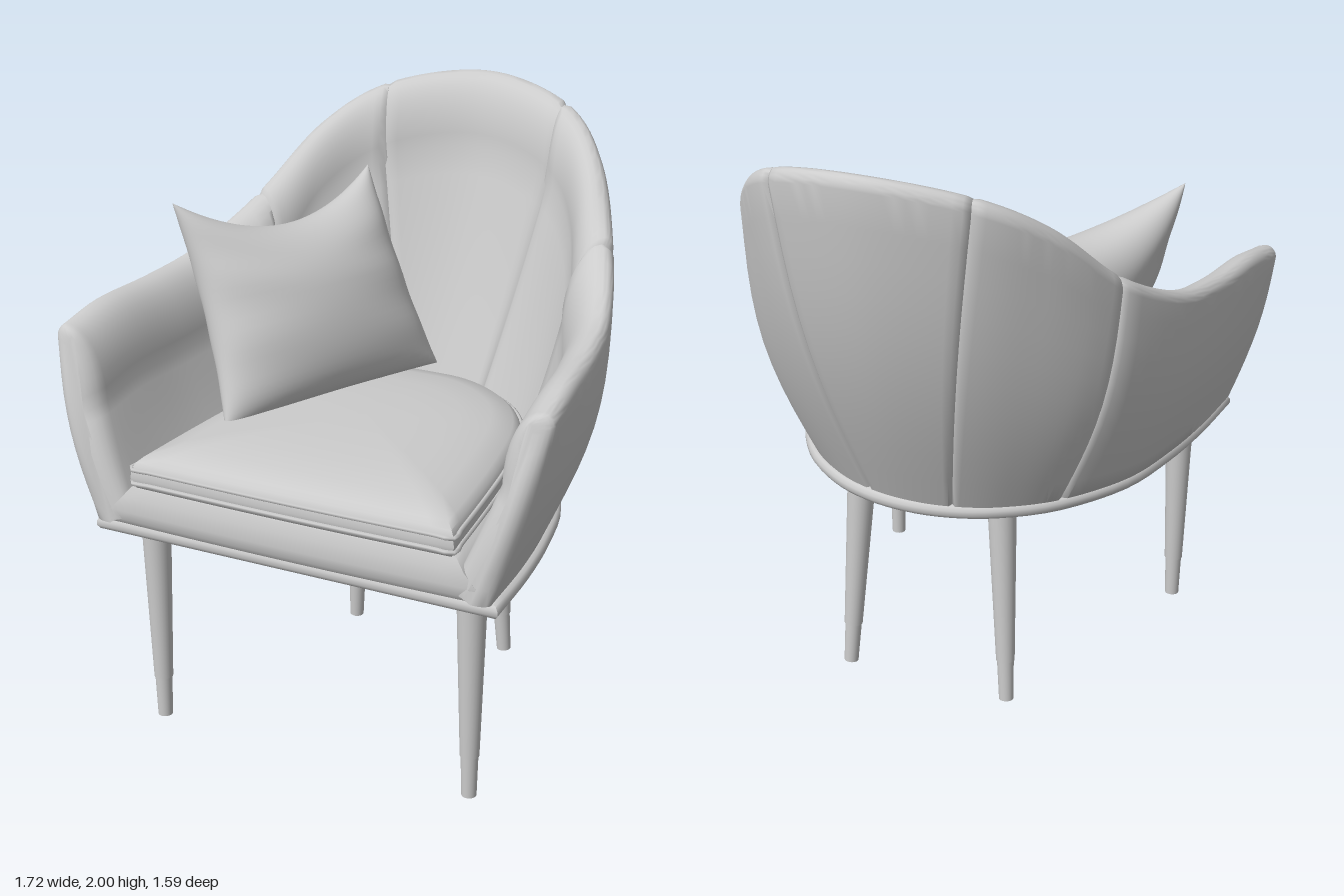
import * as THREE from 'three';
import { mergeGeometries, mergeVertices, toCreasedNormals } from 'three/addons/utils/BufferGeometryUtils.js';

const V = (x, y, z) => new THREE.Vector3(x, y, z);
const material = new THREE.MeshStandardMaterial({ color: 0xcccccc });

function addMesh(parent, name, geometry) {
  const mesh = new THREE.Mesh(geometry, material);
  mesh.name = name;
  parent.add(mesh);
  return mesh;
}

function centroid(ring) {
  return ring.reduce((s, p) => s.add(p), V(0, 0, 0)).divideScalar(ring.length);
}

// Skin a list of closed rings (counter-clockwise seen from the last ring) and cap both ends.
function loft(rings, crease) {
  const n = rings[0].length, m = rings.length, pos = [], idx = [];
  const put = p => pos.push(p.x, p.y, p.z);
  rings.forEach(r => r.forEach(put));
  for (let i = 0; i < m - 1; i++) for (let j = 0; j < n; j++) {
    const k = (j + 1) % n, a = i * n + j, b = i * n + k, c = a + n, d = b + n;
    idx.push(a, b, d, a, d, c);
  }
  put(centroid(rings[0]));
  put(centroid(rings[m - 1]));
  for (let j = 0; j < n; j++) {
    const k = (j + 1) % n;
    idx.push(m * n, k, j, m * n + 1, (m - 1) * n + j, (m - 1) * n + k);
  }
  const g = new THREE.BufferGeometry();
  g.setAttribute('position', new THREE.Float32BufferAttribute(pos, 3));
  g.setIndex(idx);
  return toCreasedNormals(g, crease);
}

// Curve from the left front corner round the back to the right front corner.
function mirrored(keys) {
  const pts = keys.map(k => V(...k));
  const other = pts.slice(0, -1).reverse().map(p => V(-p.x, p.y, p.z));
  return new THREE.CatmullRomCurve3([...pts, ...other], false, 'catmullrom', 0.5);
}

const LAST = 14; // index of the final key on a mirrored curve
const baseCurve = mirrored([[.70, .78, .76], [.69, .78, .5], [.66, .78, .25], [.60, .78, 0],
  [.46, .78, -.23], [.30, .78, -.365], [.15, .78, -.43], [0, .78, -.45]]);
const topCurve = mirrored([[.862, 1.41, .69], [.85, 1.44, .5], [.82, 1.445, .25], [.77, 1.48, 0],
  [.67, 1.61, -.28], [.535, 1.815, -.52], [.34, 1.945, -.70], [0, 2, -.80]]);
const innerCurve = mirrored([[.56, .8, .75], [.54, .8, .5], [.5, .8, .25], [.45, .8, 0],
  [.36, .8, -.17], [.25, .8, -.27], [.13, .8, -.34], [0, .8, -.35]]);
const cushionCurve = mirrored([[.57, 0, .775], [.545, 0, .5], [.515, 0, .25], [.465, 0, 0],
  [.38, 0, -.17], [.26, 0, -.28], [.13, 0, -.34], [0, 0, -.35]]);

// Cross-section of the upholstered wall: up the inside, over the rim, down the outside.
// inset thins the section for seams and rounded ends; push moves it forward.
function wallRing(t, thick, inset = 0, push = 0) {
  const [b, T, q] = [baseCurve, topCurve, innerCurve].map(c => c.getPoint(t / LAST));
  const inward = V(q.x - b.x, 0, q.z - b.z).normalize();
  const back = 1 - Math.abs(t - 7) / 7;
  const bulge = 0.02 + 0.045 * Math.min(1, back * 1.6);
  b.addScaledVector(inward, inset);
  q.addScaledVector(inward, -inset);
  const rim = 0.04, innerRim = 0.25, width = thick - 2 * inset, ring = [];
  const outerTop = V(T.x, T.y - rim - inset * .5, T.z).addScaledVector(inward, inset);
  const innerTop = outerTop.clone().addScaledVector(inward, width);
  innerTop.y -= innerRim - rim;
  for (let i = 0; i < 10; i++) {
    const s = i / 10;
    ring.push(q.clone().lerp(innerTop, s).addScaledVector(inward, -0.2 * bulge * Math.sin(Math.PI * s)));
  }
  // The rim rolls softly on the inside and tightly on the outside
  for (let i = 0; i <= 16; i++) {
    const a = Math.PI * i / 16, tip = 0.22;
    const c = Math.cos(a), h = c > 0 ? innerRim : rim;
    const p = outerTop.clone().addScaledVector(inward, width * (c > 0 ? tip + (1 - tip) * c : tip * (1 + c)));
    p.y += h * Math.sin(a) - (h - rim);
    ring.push(p);
  }
  for (let i = 9; i >= 0; i--) {
    const s = i / 10;
    ring.push(b.clone().lerp(outerTop, s).addScaledVector(inward, -bulge * Math.sin(Math.PI * s)));
  }
  for (const p of ring) {
    const s = THREE.MathUtils.clamp((p.y - .8) / .6, 0, 1);
    p.z += push * (1 + 1.2 * Math.sin(Math.PI * s));
  }
  return ring;
}

// One panel: rounded where it ends at the front, pinched where it meets a seam.
function wallPanel(t0, t1, thick) {
  const end = t => (t === 0 || t === LAST)
    ? [90, 72, 54, 36, 18].map(d => {
      const a = d * Math.PI / 180;
      return wallRing(t, thick, .06 * (1 - Math.cos(a)), .03 * Math.sin(a));
    })
    : [wallRing(t, thick, .012)];
  const rings = end(t0), steps = 20;
  const from = t0 === 0 ? 0 : t0 + .07, to = t1 === LAST ? LAST : t1 - .07;
  for (let i = 0; i <= steps; i++) rings.push(wallRing(THREE.MathUtils.lerp(from, to, i / steps), thick));
  rings.push(...end(t1).reverse());
  return loft(rings, 1.3);
}

// Plan outline with a straight, slightly bowed front edge.
function outline(curve, bow = 0) {
  const pts = curve.getPoints(56), a = pts[56], b = pts[0];
  for (let i = 1; i < 16; i++) {
    const p = a.clone().lerp(b, i / 16);
    p.z += bow * Math.sin(Math.PI * i / 16);
    pts.push(p);
  }
  return pts;
}

// Stack scaled copies of an outline; each profile entry is [scale, height, optional width scale].
function slab(pts, profile, crease) {
  return loft(profile.map(([s, y, w = s]) => pts.map(p => V(p.x * w, y, .22 + (p.z - .22) * s))), crease);
}

// Square scatter pillow spanned by four corners, puffed along its normal.
function pillowGeometry() {
  const A = V(-.65, 1.73, .31), B = V(-.32, 1.70, -.46), C = V(.01, 1.05, -.34), D = V(-.40, 1.02, .44);
  const normal = B.clone().sub(A).cross(A.clone().sub(D)).normalize();
  const sides = [1, -1].map(side => {
    const g = new THREE.PlaneGeometry(2, 2, 32, 32);
    if (side < 0) g.rotateY(Math.PI);
    const pos = g.attributes.position;
    for (let i = 0; i < pos.count; i++) {
      const u0 = Math.sin(pos.getX(i) * Math.PI / 2), v0 = Math.sin(pos.getY(i) * Math.PI / 2);
      const fu = Math.max(0, 1 - u0 * u0), fv = Math.max(0, 1 - v0 * v0);
      // The top edge sags; the other edges are only slightly drawn in
      const u = u0 * (1 - .09 * fv), v = v0 * (1 - (v0 > 0 ? .38 : .03) * fu);
      const p = D.clone().lerp(C, (u + 1) / 2).lerp(A.clone().lerp(B, (u + 1) / 2), (v + 1) / 2);
      const fold = 1 + .05 * Math.sin(11 * v0 + 2 * u0) * u0 * u0;
      p.addScaledVector(normal, side * .17 * Math.pow(fu * fv, .48) * fold);
      pos.setXYZ(i, p.x, p.y, p.z);
    }
    g.deleteAttribute('normal');
    g.deleteAttribute('uv');
    return g;
  });
  const g = mergeVertices(mergeGeometries(sides), 1e-5);
  g.computeVertexNormals();
  return g;
}

// Tapered leg from foot to top with a narrower tip.
function addLeg(parent, name, foot, top) {
  const leg = new THREE.Group();
  leg.name = name;
  const length = foot.distanceTo(top);
  const shaft = new THREE.CylinderGeometry(.05, .032, length - .15, 24).translate(0, .15 + (length - .15) / 2, 0);
  const tip = new THREE.CylinderGeometry(.029, .025, .15, 24).translate(0, .075, 0);
  addMesh(leg, 'legShaft', shaft);
  addMesh(leg, 'legTip', tip);
  leg.position.copy(foot);
  leg.quaternion.setFromUnitVectors(V(0, 1, 0), top.clone().sub(foot).normalize());
  parent.add(leg);
}

export function createModel() {
  const chair = new THREE.Group();
  chair.name = 'armchair';

  // Upholstered shell: two arms, two wings and the centre back
  addMesh(chair, 'leftArm', wallPanel(0, 4, .165));
  addMesh(chair, 'leftWing', wallPanel(4, 6, .14));
  addMesh(chair, 'centreBack', wallPanel(6, 8, .135));
  addMesh(chair, 'rightWing', wallPanel(8, 10, .14));
  addMesh(chair, 'rightArm', wallPanel(10, LAST, .165));
  addMesh(chair, 'scatterPillow', pillowGeometry());

  // Lower parts sit a touch to the left of centre
  const seat = new THREE.Group();
  seat.name = 'seatAndLegs';
  seat.position.x = .01;
  chair.add(seat);

  // Base plate, padded seat flaring to the base, and loose cushion
  addMesh(seat, 'basePlate', slab(outline(baseCurve),
    [[.985, .735], [1.008, .74], [1.02, .752], [1.02, .768], [1.008, .78], [.985, .785]], .9));
  addMesh(seat, 'seatBase', slab(outline(innerCurve, .01),
    [[1.03, .78, 1.18], [1.055, .80, 1.19], [1.06, .83, 1.16], [1.055, .88, 1.08], [1.03, .915, 1.03], [.9, .925]], .9));
  const rim = outline(cushionCurve, .008);
  addMesh(seat, 'seatCushion', slab(rim, [[.9, .90], [.975, .915], [.995, .93], [1, .955], [.995, .985],
    [.975, 1.005], [.94, 1.022], [.8, 1.044], [.6, 1.058], [.35, 1.066], [.1, 1.069]], 1.2));
  for (const y of [.937, .985]) {
    const path = new THREE.CatmullRomCurve3(rim.map(p => V(p.x, y, p.z)), true);
    addMesh(seat, 'cushionPiping', new THREE.TubeGeometry(path, 144, .008, 6, true));
  }

  // Legs: upright at the front, splayed at the back
  for (const [side, s] of [['left', 1], ['right', -1]]) {
    addLeg(seat, side + 'FrontLeg', V(.572 * s, 0, .635), V(.572 * s, .75, .635));
    addLeg(seat, side + 'BackLeg', V(.30 * s, 0, -.29), V(.26 * s, .75, -.25));
  }
  return chair;
}
